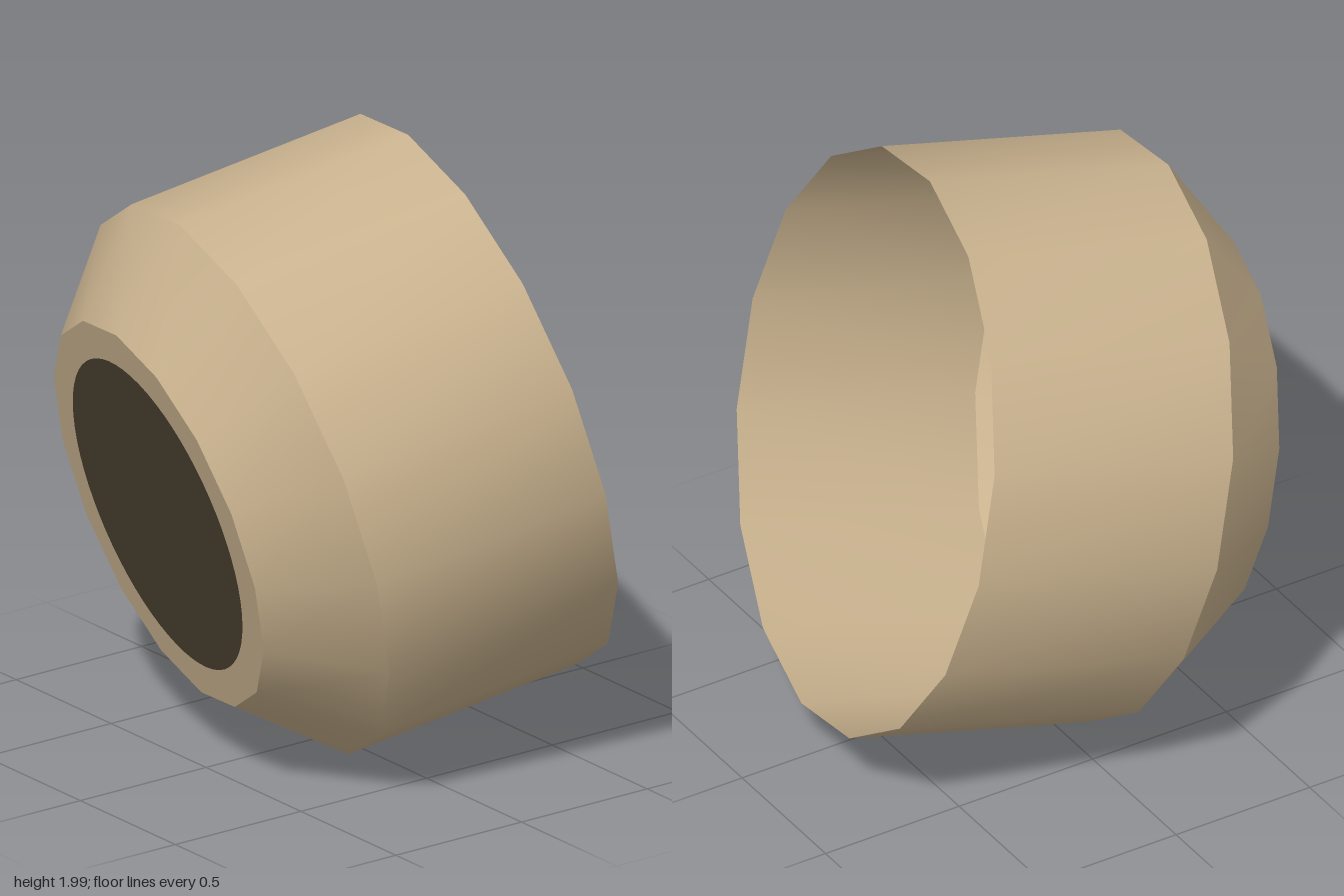
import * as THREE from 'three';

const SIDES = 16;
const STEPS = 64;

// Directions of the tilted rings: towards the model's side and towards the top
const ACROSS = new THREE.Vector3(0.93, -0.045, 0.158);
const UPWARD = new THREE.Vector3(0.002, 0.916, 0.242);

// Ring centres along the slanted axis
const REAR = new THREE.Vector3(0.06, 1.083, -0.5);
const MIDDLE = new THREE.Vector3(-0.065, 0.923, 0.315);
const FRONT = new THREE.Vector3(-0.119, 0.853, 0.598);

function ringPoint(centre, size, angle) {
  return centre.clone()
    .addScaledVector(ACROSS, size * Math.sin(angle))
    .addScaledVector(UPWARD, size * Math.cos(angle));
}

function ring(centre, size, count) {
  return Array.from({ length: count }, (_, i) => ringPoint(centre, size, (i / count) * Math.PI * 2));
}

// A sixteen-sided ring resampled to many steps, keeping its straight edges
function facetedRing(centre, size) {
  const corners = ring(centre, size, SIDES);
  const per = STEPS / SIDES;
  return Array.from({ length: STEPS }, (_, i) => {
    const k = Math.floor(i / per);
    return corners[k].clone().lerp(corners[(k + 1) % SIDES], (i % per) / per);
  });
}

// Closed band of faces between two rings with equal point counts
function band(a, b) {
  const n = a.length;
  const index = [];
  for (let i = 0; i < n; i++) {
    const j = (i + 1) % n;
    index.push(i, n + i, n + j, i, n + j, j);
  }
  const geometry = new THREE.BufferGeometry().setFromPoints([...a, ...b]);
  geometry.setIndex(index);
  geometry.computeVertexNormals();
  return geometry;
}

// Flat fan from a ring to its centre
function fan(points, centre) {
  const n = points.length;
  const index = [];
  for (let i = 0; i < n; i++) index.push(i, n, (i + 1) % n);
  const geometry = new THREE.BufferGeometry().setFromPoints([...points, centre]);
  geometry.setIndex(index);
  geometry.computeVertexNormals();
  return geometry;
}

export function createModel() {
  const group = new THREE.Group();
  group.name = 'openCup';

  const tan = new THREE.MeshStandardMaterial({ color: 0xc9b28e, side: THREE.DoubleSide });
  tan.name = 'tan';
  const dark = new THREE.MeshStandardMaterial({ color: 0x494031, side: THREE.DoubleSide });
  dark.name = 'darkBrown';

  const add = (name, geometry, material) => {
    const mesh = new THREE.Mesh(geometry, material);
    mesh.name = name;
    group.add(mesh);
  };

  // Open barrel and the tapered shoulder in front of it
  add('barrel', band(ring(REAR, 1, SIDES), ring(MIDDLE, 1, SIDES)), tan);
  add('shoulder', band(ring(MIDDLE, 1, SIDES), ring(FRONT, 0.702, SIDES)), tan);

  // Front plate: tan border around a dark round centre
  const spotCentre = FRONT.clone().addScaledVector(ACROSS, -0.011).addScaledVector(UPWARD, -0.006);
  const spotEdge = ring(spotCentre, 0.567, STEPS);
  add('frontBorder', band(facetedRing(FRONT, 0.702), spotEdge), tan);
  add('frontSpot', fan(spotEdge, spotCentre), dark);

  return group;
}
